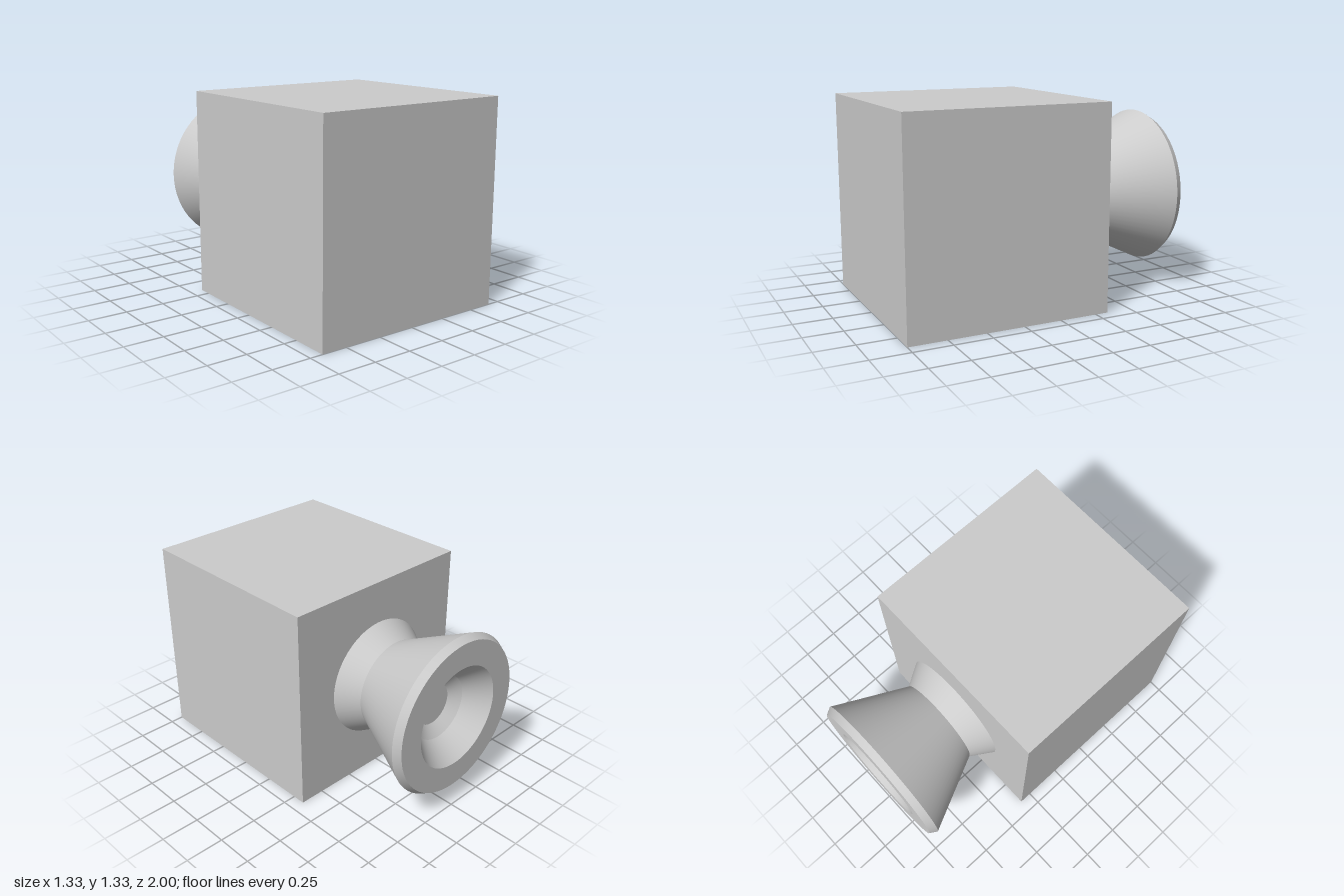
import * as THREE from 'three';
import { toCreasedNormals } from 'three/addons/utils/BufferGeometryUtils.js';

const SIZE = 4 / 3; // edge of the cube

export function createModel() {
  const model = new THREE.Group();
  const material = new THREE.MeshStandardMaterial({ color: 0xcccccc });

  // Cube body, flush with the front
  const body = new THREE.Mesh(new THREE.BoxGeometry(SIZE, SIZE, SIZE), material);
  body.name = 'body';
  body.position.set(0, SIZE / 2, 1 - SIZE / 2);
  model.add(body);

  // Flared horn on the back: [radius, distance behind the centre], outside then dished inside
  const profile = [
    [0.39, 0.333], [0.302, 0.478], [0.528, 0.952], [0.5, 1],
    [0.336, 1], [0.213, 0.855], [0.137, 0.8], [0, 0.8],
  ].map(([r, d]) => new THREE.Vector2(r, d));
  const lathe = new THREE.LatheGeometry(profile, 72).rotateX(-Math.PI / 2);
  const horn = new THREE.Mesh(toCreasedNormals(lathe, 0.15), material);
  horn.name = 'horn';
  horn.position.y = SIZE / 2;
  model.add(horn);

  return model;
}
